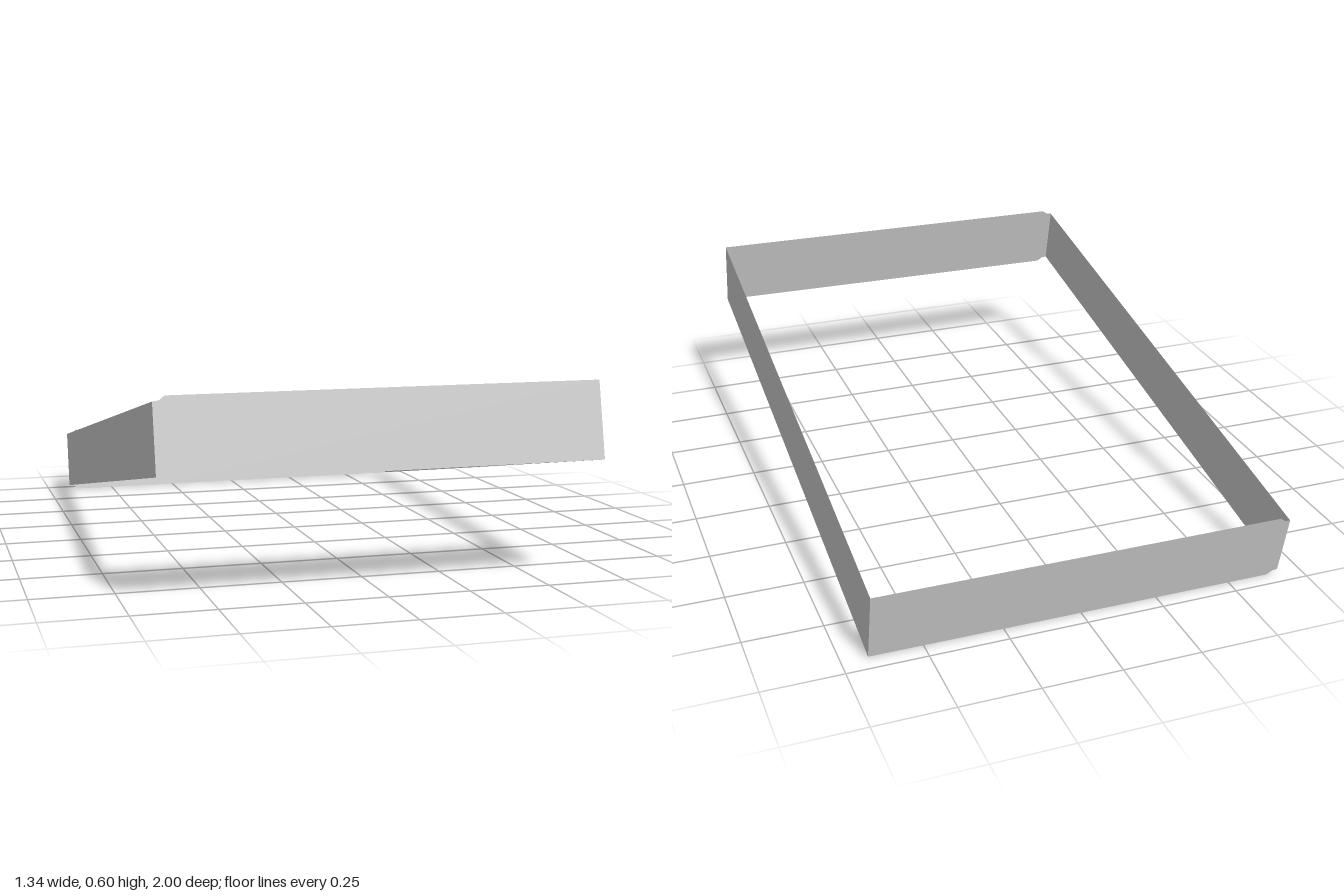
import * as THREE from 'three';

const HALF_W = 0.67;

// Point on the tilted band: x across, end = 1 front / -1 back, h = 0 bottom edge / 1 top edge
function bandPoint(x, end, h) {
  const skew = 0.0025 * (x / HALF_W);
  const y = 0.302 + 0.182 * end + 0.232 * (h - 0.5) + skew;
  const z = 0.975 * end - 0.05 * (h - 0.5);
  return [x, y, z];
}

// Thin sheet running through stations [x, end, inset of both long edges]
function wall(name, stations, material) {
  const positions = [];
  const indices = [];
  stations.forEach(([x, end, inset], i) => {
    positions.push(...bandPoint(x, end, inset), ...bandPoint(x, end, 1 - inset));
    if (i > 0) {
      const a = 2 * (i - 1);
      indices.push(a, a + 2, a + 3, a, a + 3, a + 1);
    }
  });
  const geometry = new THREE.BufferGeometry();
  geometry.setAttribute('position', new THREE.Float32BufferAttribute(positions, 3));
  geometry.setIndex(indices);
  geometry.computeVertexNormals();
  const mesh = new THREE.Mesh(geometry, material);
  mesh.name = name;
  return mesh;
}

export function createModel() {
  const group = new THREE.Group();
  group.name = 'rectangularBand';
  const material = new THREE.MeshStandardMaterial({
    color: 0xcccccc, flatShading: true, side: THREE.DoubleSide,
  });

  // End walls, stepped in slightly where they meet the narrower right wall
  const profile = [[-HALF_W, 0.065], [-0.652, 0.055], [-0.635, 0], [HALF_W, 0]];
  const frontStations = profile.map(([x, inset]) => [x, 1, inset]);
  const backStations = profile.map(([x, inset]) => [x, -1, inset]).reverse();
  group.add(wall('frontWall', frontStations, material));
  group.add(wall('backWall', backStations, material));

  // Long side walls
  group.add(wall('leftWall', [[HALF_W, 1, 0], [HALF_W, -1, 0]], material));
  group.add(wall('rightWall', [[-HALF_W, -1, 0.065], [-HALF_W, 1, 0.065]], material));
  return group;
}
